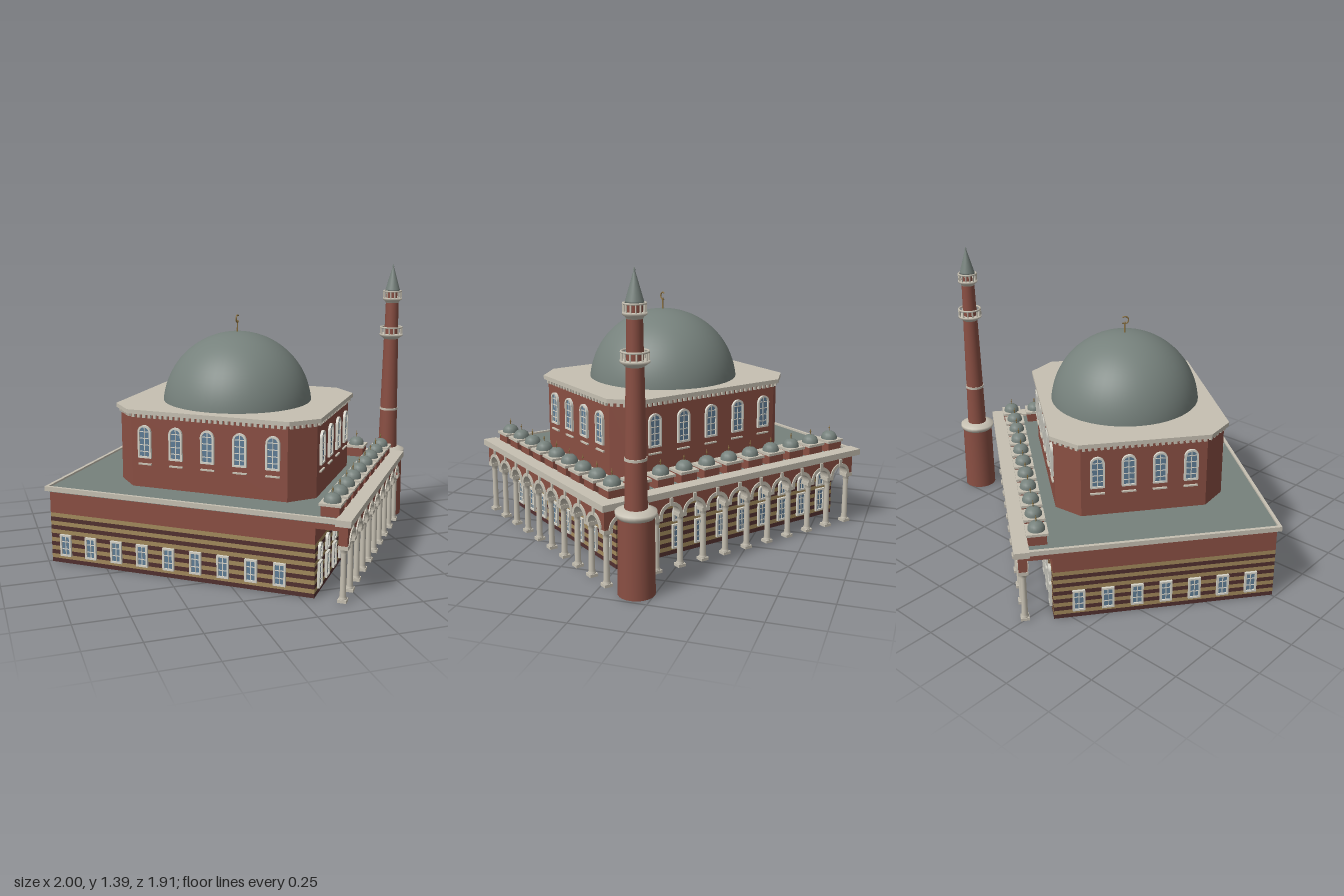
import * as THREE from 'three';

const mat = (color, side = THREE.FrontSide) => new THREE.MeshStandardMaterial({ color, side });
const RED = mat(0x8a4f43), DARK = mat(0x52302f), TAN = mat(0xa38a5c), STONE = mat(0xc6c0b2);
const LEAD = mat(0x76817c, THREE.DoubleSide), GLASS = mat(0x5f7d96), GOLD = mat(0x8a7040), WHITE = mat(0xd6d4ca);

function add(parent, name, geo, material, x = 0, y = 0, z = 0) {
  const m = new THREE.Mesh(geo, material);
  m.name = name;
  m.position.set(x, y, z);
  parent.add(m);
  return m;
}
// Box given by its limits
function slab(parent, name, material, x0, x1, y0, y1, z0, z1) {
  return add(parent, name, new THREE.BoxGeometry(x1 - x0, y1 - y0, z1 - z0), material, (x0 + x1) / 2, (y0 + y1) / 2, (z0 + z1) / 2);
}
function group(parent, name, x = 0, y = 0, z = 0, turn = 0) {
  const g = new THREE.Group();
  g.name = name;
  g.position.set(x, y, z);
  g.rotation.y = turn;
  parent.add(g);
  return g;
}
const extrude = (shape, depth) => new THREE.ExtrudeGeometry(shape, { depth, bevelEnabled: false, curveSegments: 10 });
const lathe = (pts, n = 24) => new THREE.LatheGeometry(pts.map(p => new THREE.Vector2(p[0], p[1])), n);

// Outline of a window, sill at y = 0, with an optional round head
function outline(w, h, arched, Kind = THREE.Shape) {
  const s = new Kind(), r = w / 2;
  s.moveTo(-r, 0).lineTo(r, 0);
  if (arched) s.lineTo(r, h - r).absarc(0, h - r, r, 0, Math.PI, false);
  else s.lineTo(r, h).lineTo(-r, h);
  s.lineTo(-r, 0);
  return s;
}

// Returns a builder of identical windows with frame, pane and glazing bars
function windowKind(w, h, arched, bars) {
  const t = 0.009, frame = outline(w, h, arched);
  const hole = outline(w - 2 * t, h - 2 * t, arched, THREE.Path);
  frame.holes.push(new THREE.Path(hole.getPoints(10).map(p => p.add(new THREE.Vector2(0, t)))));
  const frameGeo = extrude(frame, 0.012), paneGeo = extrude(outline(w - t, h - t, arched), 0.005);
  const upright = new THREE.BoxGeometry(0.004, h - t, 0.003), cross = new THREE.BoxGeometry(w - t, 0.004, 0.003);
  return (parent, x, y) => {
    const g = group(parent, 'window', x, y, 0);
    add(g, 'windowFrame', frameGeo, WHITE);
    add(g, 'windowPane', paneGeo, GLASS, 0, t / 2, 0);
    add(g, 'glazingBar', upright, WHITE, 0, h / 2, 0.006);
    for (let i = 1; i <= bars; i++) add(g, 'glazingBar', cross, WHITE, 0, h * i / (bars + 1), 0.006);
    return g;
  };
}

// Octagon: rectangle of half sizes a, b with chamfered corners, lying flat
function octagon(a, b, c, height) {
  const pts = [[a, c - b], [a, b - c], [a - c, b], [c - a, b], [-a, b - c], [-a, c - b], [c - a, -b], [a - c, -b]];
  const geo = extrude(new THREE.Shape(pts.map(p => new THREE.Vector2(...p))), height);
  return { pts, geo: geo.rotateX(-Math.PI / 2) };
}

// Row of columns carrying round arches; runs along x and is centred
function arcade(parent, bays, pitch, skipFirst) {
  const r = 0.049, spring = 0.262, half = bays * pitch / 2;
  const wall = new THREE.Shape();
  wall.moveTo(-half - 0.02, spring);
  for (let i = 0; i < bays; i++) {
    const c = -half + (i + 0.5) * pitch;
    wall.lineTo(c - r, spring).absarc(c, spring, r, Math.PI, 0, true);
  }
  wall.lineTo(half + 0.02, spring).lineTo(half + 0.02, 0.36).lineTo(-half - 0.02, 0.36);
  add(parent, 'archWall', extrude(wall, 0.04), RED, 0, 0, -0.02);
  const ring = new THREE.Shape();
  ring.absarc(0, 0, 0.063, 0, Math.PI, false);
  ring.lineTo(-r + 0.002, 0).absarc(0, 0, r - 0.002, Math.PI, 0, true);
  const ringGeo = extrude(ring, 0.052), key = new THREE.BoxGeometry(0.016, 0.036, 0.056);
  const shaft = lathe([[0.018, 0.014], [0.018, 0.02], [0.0145, 0.026], [0.0125, 0.222], [0.016, 0.226], [0.0125, 0.23], [0.02, 0.246]], 12);
  const foot = new THREE.BoxGeometry(0.04, 0.014, 0.04), cap = new THREE.BoxGeometry(0.042, 0.018, 0.046);
  for (let i = 0; i < bays; i++) {
    const c = -half + (i + 0.5) * pitch;
    add(parent, 'archTrim', ringGeo, STONE, c, spring, -0.026);
    add(parent, 'keystone', key, STONE, c, 0.328, 0);
  }
  for (let i = skipFirst ? 1 : 0; i <= bays; i++) {
    const x = -half + i * pitch;
    add(parent, 'columnFoot', foot, STONE, x, 0.007, 0);
    add(parent, 'columnShaft', shaft, STONE, x, 0, 0);
    add(parent, 'columnCapital', cap, STONE, x, 0.254, 0);
  }
}

// Small dome on a square brick plinth
const cupolaGeo = lathe([[0.04, 0], [0.039, 0.012], [0.033, 0.025], [0.021, 0.035], [0, 0.04]], 16);
const spikeGeo = lathe([[0.002, 0], [0.002, 0.012], [0.005, 0.016], [0.002, 0.02], [0, 0.034]], 6);
function cupola(parent, x, z) {
  const g = group(parent, 'cupola', x, 0.37, z);
  slab(g, 'plinth', RED, -0.043, 0.043, 0, 0.052, -0.043, 0.043);
  slab(g, 'plinthCornice', STONE, -0.05, 0.05, 0.052, 0.064, -0.05, 0.05);
  add(g, 'cupolaDome', cupolaGeo, LEAD, 0, 0.064, 0);
  add(g, 'cupolaSpike', spikeGeo, GOLD, 0, 0.103, 0);
}

function minaret(parent, x, z) {
  const g = group(parent, 'minaret', x, 0, z);
  add(g, 'minaretBase', new THREE.CylinderGeometry(0.079, 0.082, 0.35, 24), RED, 0, 0.175, 0);
  add(g, 'baseRing', lathe([[0, 0.345], [0.08, 0.345], [0.09, 0.358], [0.09, 0.372], [0.056, 0.385], [0, 0.385]]), STONE);
  add(g, 'lowerShaft', new THREE.CylinderGeometry(0.038, 0.05, 0.64, 24), RED, 0, 0.69, 0);
  add(g, 'shaftRing', new THREE.CylinderGeometry(0.049, 0.049, 0.012, 24), STONE, 0, 0.6, 0);
  add(g, 'upperShaft', new THREE.CylinderGeometry(0.033, 0.037, 0.25, 24), RED, 0, 1.125, 0);
  for (const [y, r] of [[1.005, 0.062], [1.2, 0.051]]) {
    add(g, 'balconyFloor', lathe([[0.03, y - 0.025], [r - 0.012, y - 0.008], [r, y], [r, y + 0.01], [0.03, y + 0.01]]), STONE);
    const post = new THREE.BoxGeometry(0.006, 0.035, 0.006);
    for (let i = 0; i < 14; i++) {
      const a = i / 14 * Math.PI * 2;
      add(g, 'balconyPost', post, STONE, Math.cos(a) * (r - 0.005), y + 0.026, Math.sin(a) * (r - 0.005));
    }
    add(g, 'balconyRail', new THREE.TorusGeometry(r - 0.005, 0.005, 6, 28).rotateX(Math.PI / 2), STONE, 0, y + 0.045, 0);
  }
  add(g, 'spire', lathe([[0, 1.245], [0.04, 1.245], [0.038, 1.255], [0.006, 1.365], [0.003, 1.372], [0.005, 1.378], [0, 1.39]]), LEAD);
}

export function createModel() {
  const model = new THREE.Group();
  model.name = 'domedBuilding';
  const b = group(model, 'building', 0, 0, 0, -38 * Math.PI / 180);
  const Q = Math.PI / 2, pitch = 0.129;

  // Striped lower hall
  const course = 0.25 / 12;
  for (let i = 0; i < 12; i++) slab(b, 'stripeCourse', i % 2 ? TAN : DARK, -0.77, 0.55, i * course, (i + 1) * course, -0.43, 0.61);
  slab(b, 'upperWall', RED, -0.77, 0.55, 0.25, 0.36, -0.43, 0.61);

  // Flat roof and its cornices
  slab(b, 'roof', LEAD, -0.775, 0.66, 0.354, 0.374, -0.54, 0.615);
  slab(b, 'corniceSide', STONE, -0.788, 0.7, 0.36, 0.383, 0.612, 0.627);
  slab(b, 'corniceEnd', STONE, -0.788, -0.772, 0.36, 0.383, -0.56, 0.627);
  slab(b, 'arcadeCornice', STONE, 0.645, 0.715, 0.355, 0.385, -0.6, 0.64);
  slab(b, 'arcadeCornice', STONE, -0.796, 0.645, 0.355, 0.385, -0.6, -0.53);
  slab(b, 'endLintel', RED, 0.55, 0.66, 0.325, 0.36, 0.575, 0.61);
  slab(b, 'endLintel', RED, -0.77, -0.735, 0.325, 0.36, -0.54, -0.43);

  // Arcades on two sides, sharing the corner column
  arcade(group(b, 'shortArcade', 0.677, 0, 0.0205, Q), 9, pitch, false);
  arcade(group(b, 'longArcade', -0.0325, 0, -0.56, 2 * Q), 11, pitch, true);
  for (let i = 0; i < 9; i++) cupola(b, 0.606, -0.495 + i * pitch);
  for (let i = 1; i < 11; i++) cupola(b, 0.606 - i * pitch, -0.488);

  // Windows of the hall
  const lowWindow = windowKind(0.058, 0.108, false, 2), tallWindow = windowKind(0.056, 0.12, false, 3);
  const archWindow = windowKind(0.05, 0.075, true, 1);
  const sideWall = group(b, 'sideWallWindows', 0, 0, 0.61);
  for (let i = 0; i < 9; i++) lowWindow(sideWall, -0.69 + i * 0.135, 0.038);
  const endWall = group(b, 'endWallWindows', -0.77, 0, 0.09, -Q);
  for (let i = -3; i <= 3; i++) lowWindow(endWall, i * 0.135, 0.038);
  const shortWall = group(b, 'shortArcadeWindows', 0.55, 0, 0, Q);
  const longWall = group(b, 'longArcadeWindows', 0, 0, -0.43, 2 * Q);
  for (const [wall, n, start] of [[shortWall, 8, -0.537], [longWall, 10, -0.477]])
    for (let i = 0; i < n; i++) {
      tallWindow(wall, start + i * pitch, 0.03);
      archWindow(wall, start + i * pitch, 0.165);
    }

  // Eight-sided upper hall with dentils under its cornice
  const u = group(b, 'upperHall', -0.018, 0, 0.038);
  const body = octagon(0.497, 0.407, 0.108, 0.375), eave = octagon(0.517, 0.427, 0.115, 0.02);
  add(u, 'upperHallWall', body.geo, RED, 0, 0.365, 0);
  add(u, 'upperHallCornice', eave.geo, STONE, 0, 0.735, 0);
  const dentil = new THREE.BoxGeometry(0.014, 0.018, 0.024);
  body.pts.forEach(([x0, z0], k) => {
    const [x1, z1] = body.pts[(k + 1) % 8], n = Math.round(Math.hypot(x1 - x0, z1 - z0) / 0.028);
    for (let i = 0; i < n; i++) {
      const t = (i + 0.5) / n;
      add(u, 'dentil', dentil, STONE, x0 + (x1 - x0) * t, 0.726, z0 + (z1 - z0) * t).rotation.y = -Math.atan2(z1 - z0, x1 - x0);
    }
  });
  const hallWindow = windowKind(0.068, 0.16, true, 4);
  for (let k = 0; k < 4; k++) {
    const long = k % 2 === 0, n = long ? 5 : 4, step = long ? 0.16 : 0.148, d = long ? 0.407 : 0.497;
    const face = group(u, 'upperHallWindows', Math.sin(k * Q) * d, 0, Math.cos(k * Q) * d, k * Q);
    for (let i = 0; i < n; i++) {
      const x = (i - (n - 1) / 2) * step;
      hallWindow(face, x, 0.52);
      slab(face, 'windowSill', STONE, x - 0.034, x + 0.034, 0.486, 0.493, 0, 0.01);
    }
  }

  // Great dome with crescent finial
  const open = Math.acos(0.035 / 0.37);
  add(u, 'greatDome', new THREE.SphereGeometry(0.37, 48, 20, 0, Math.PI * 2, 0, open), LEAD, 0, 0.72, 0);
  add(u, 'finialPole', new THREE.CylinderGeometry(0.003, 0.004, 0.06, 8), GOLD, 0, 1.115, 0);
  const crescent = add(u, 'crescent', new THREE.TorusGeometry(0.018, 0.0035, 6, 20, Math.PI * 1.5).rotateZ(Math.PI / 4), GOLD, 0, 1.153, 0);
  crescent.rotation.y = Q;

  minaret(model, 0.905, -0.172);
  return model;
}
